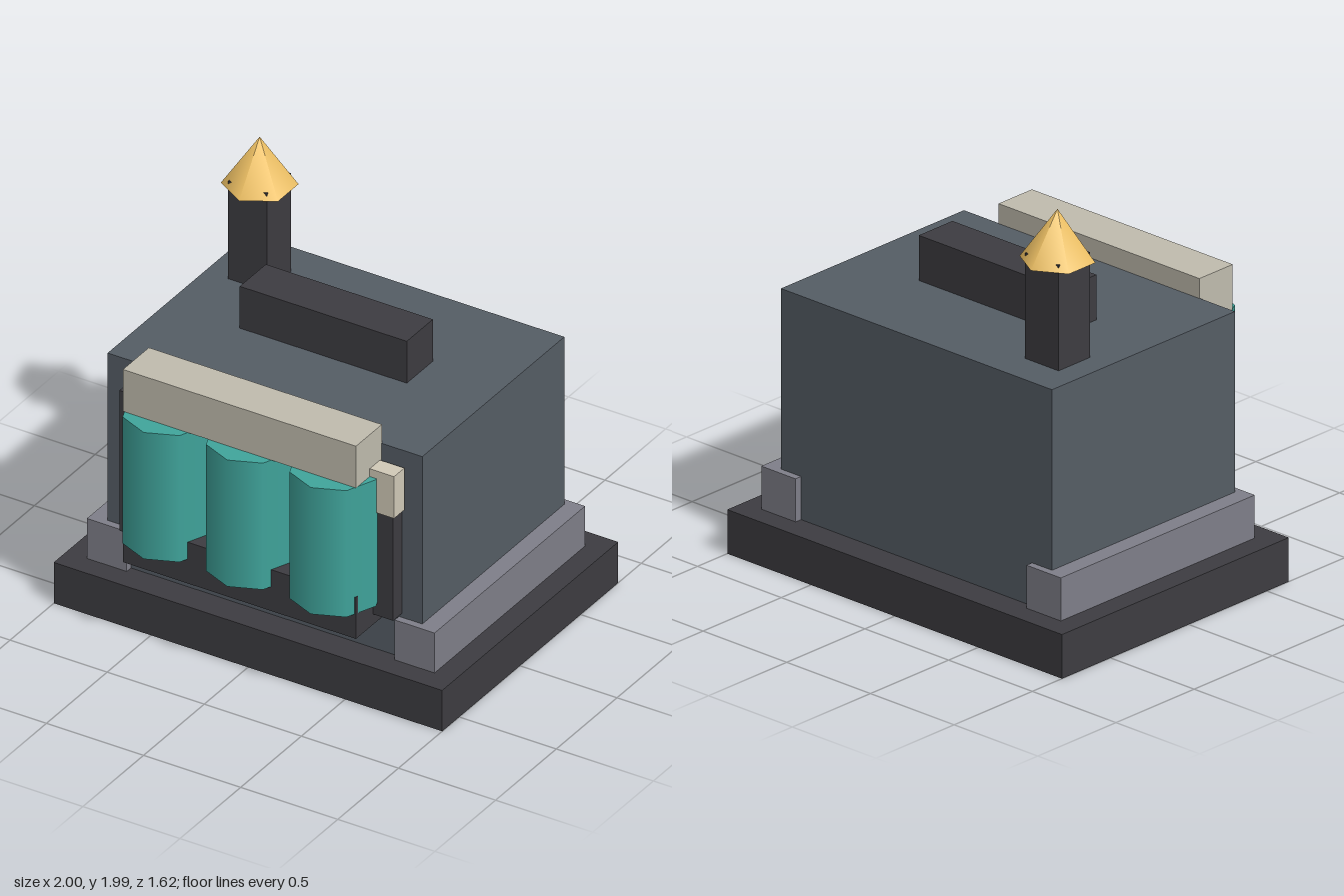
import * as THREE from 'three';

const paint = (color) => new THREE.MeshStandardMaterial({ color });

export function createModel() {
  const model = new THREE.Group();
  const dark = paint(0x3d3c41);
  const slate = paint(0x555d65);
  const grey = paint(0x7f7f89);
  const stone = paint(0xc0bcae);
  const cream = paint(0xd2cab8);
  const teal = paint(0x40a59c);
  const gold = paint(0xf0c265);

  const add = (name, geometry, material, x, y, z) => {
    const mesh = new THREE.Mesh(geometry, material);
    mesh.name = name;
    mesh.position.set(x, y, z);
    model.add(mesh);
    return mesh;
  };
  // Box given by its lower and upper limits on each axis
  const box = (name, material, [x0, x1], [y0, y1], [z0, z1]) =>
    add(name, new THREE.BoxGeometry(x1 - x0, y1 - y0, z1 - z0), material,
      (x0 + x1) / 2, (y0 + y1) / 2, (z0 + z1) / 2);

  // Plinth, building and side footings
  box('basePlinth', dark, [-1, 1], [0, 0.21], [-0.81, 0.64]);
  box('mainBody', slate, [-0.81, 0.81], [0.2, 1.275], [-0.67, 0.5]);
  box('leftFooting', grey, [0.69, 0.895], [0.2, 0.415], [-0.705, 0.535]);
  box('rightFooting', grey, [-0.895, -0.69], [0.2, 0.415], [-0.705, 0.535]);

  // Roof block and chimney with its pointed cap
  box('roofBlock', dark, [-0.43, 0.43], [1.26, 1.49], [-0.195, 0.02]);
  box('chimney', dark, [-0.69, -0.49], [1.26, 1.777], [-0.5, -0.3]);
  add('chimneyCap', new THREE.ConeGeometry(0.17, 0.24, 6), gold, -0.59, 1.865, -0.4);

  // Front rack: back panel, lower tray, upper beam and side box
  box('rackPanel', dark, [-0.705, 0.705], [0.435, 1.155], [0.49, 0.572]);
  box('rackTray', dark, [-0.6, 0.6], [0.38, 0.592], [0.495, 0.71]);
  box('rackBeam', stone, [-0.6, 0.6], [1.155, 1.37], [0.497, 0.71]);
  box('controlBox', cream, [0.51, 0.725], [0.98, 1.195], [0.512, 0.597]);

  // Three eight-sided tanks
  for (const x of [-0.43, 0, 0.43]) {
    add('tank', new THREE.CylinderGeometry(0.207, 0.207, 0.65, 8), teal, x, 0.83, 0.604);
  }
  return model;
}
